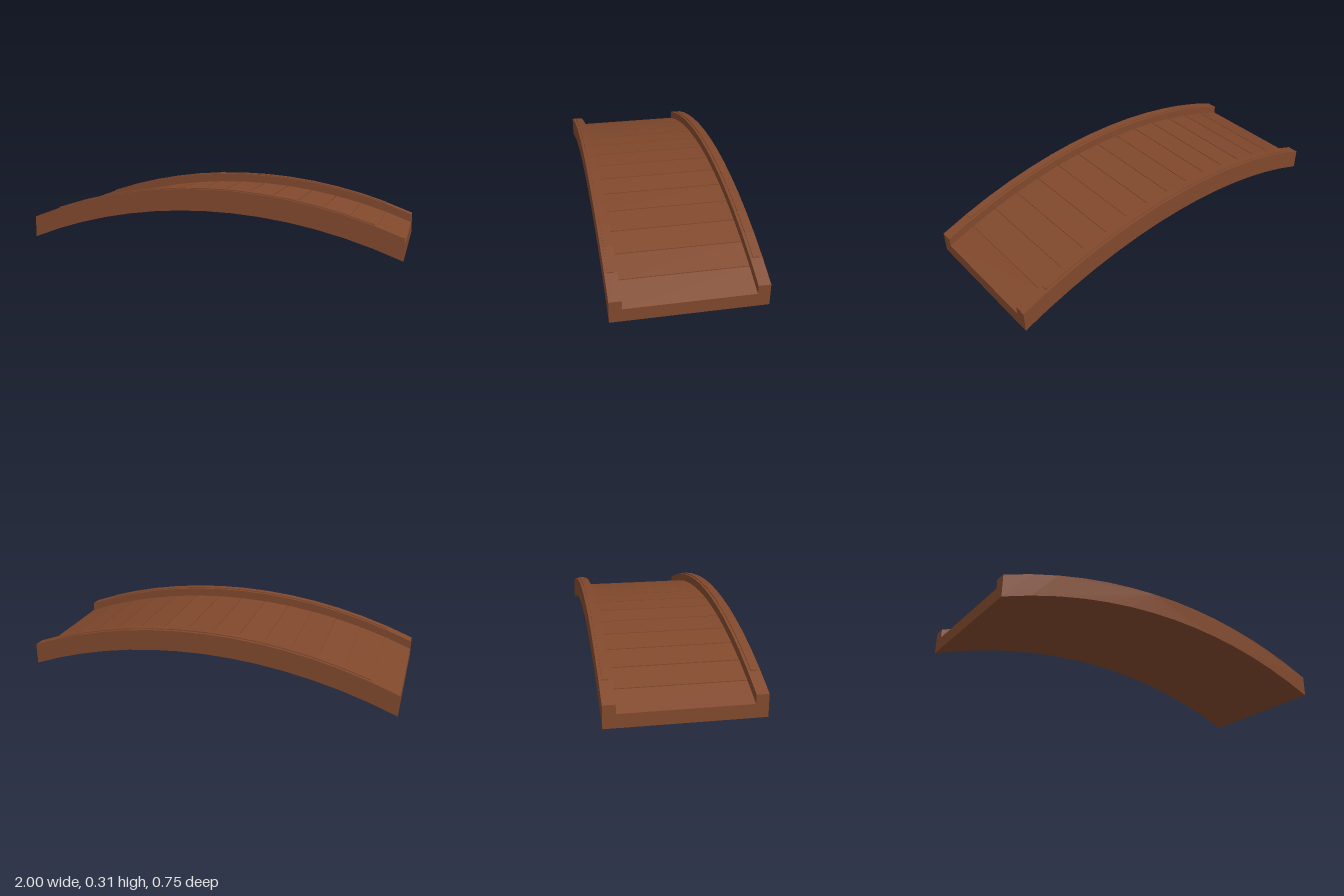
import * as THREE from 'three';

const SEGMENTS = 14;
const RISE = 0.194;
const RADIUS = (1 + RISE * RISE) / (2 * RISE);

// Height of the arch line above its ends, on straight segments
const circleY = (x) => Math.sqrt(RADIUS * RADIUS - x * x) - (RADIUS - RISE);
const stationX = (i) => (i / SEGMENTS) * 2 - 1;
function archY(x) {
  const i = Math.min(SEGMENTS - 1, Math.max(0, Math.floor(((x + 1) / 2) * SEGMENTS)));
  const a = stationX(i), b = stationX(i + 1);
  return THREE.MathUtils.lerp(circleY(a), circleY(b), (x - a) / (b - a));
}

export function createModel() {
  const group = new THREE.Group();
  const wood = new THREE.MeshStandardMaterial({ color: 0x80482c, flatShading: true });

  // Band following the arch through the given x stations
  function addBand(name, xs, low, high, z0, z1) {
    const shape = new THREE.Shape([
      ...xs.map((x) => new THREE.Vector2(x, archY(x) + low)),
      ...[...xs].reverse().map((x) => new THREE.Vector2(x, archY(x) + high)),
    ]);
    const geometry = new THREE.ExtrudeGeometry(shape, { depth: z1 - z0, bevelEnabled: false });
    geometry.translate(0, 0, z0);
    const mesh = new THREE.Mesh(geometry, wood);
    mesh.name = name;
    group.add(mesh);
  }

  const stations = Array.from({ length: SEGMENTS + 1 }, (_, i) => stationX(i));

  // Arched slab under the planks
  addBand('deckSlab', stations, 0, 0.064, -0.313, 0.313);

  // Planks with narrow grooves between them
  for (let i = 0; i < SEGMENTS; i++) {
    const x0 = stationX(i) + (i > 0 ? 0.003 : 0);
    const x1 = stationX(i + 1) - (i < SEGMENTS - 1 ? 0.003 : 0);
    addBand('plank' + (i + 1), [x0, x1], 0.064, 0.068, -0.313, 0.313);
  }

  // Side kerbs, each with a thin rail strip that stops short of the ends
  for (const [side, s] of [['front', 1], ['back', -1]]) {
    const span = (a, b) => (s > 0 ? [a, b] : [-b, -a]);
    addBand(side + 'Kerb', stations, 0, 0.113, ...span(0.313, 0.373));
    addBand(side + 'RailStrip', stations.slice(1, -1), 0.105, 0.118, ...span(0.327, 0.358));
  }

  return group;
}
